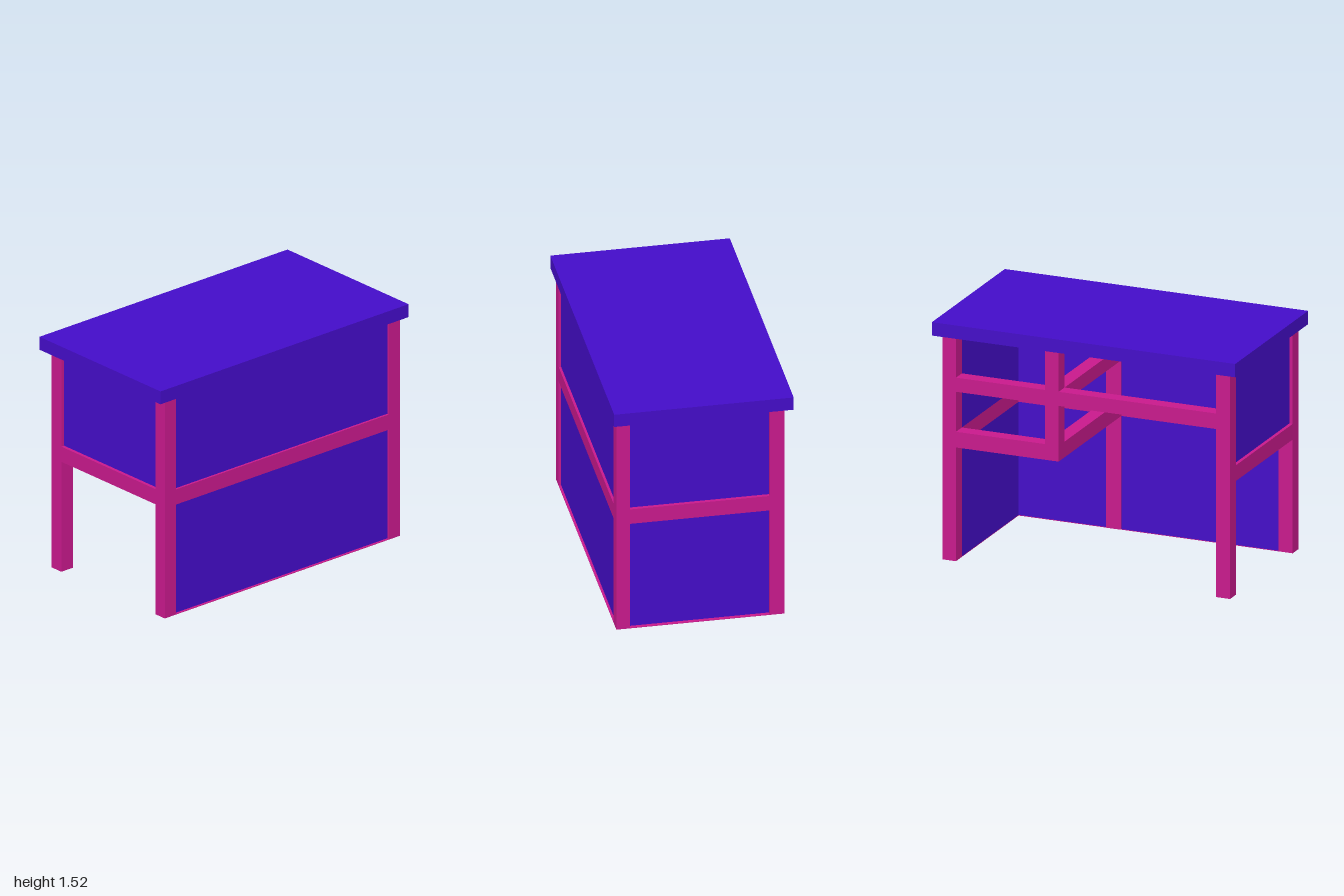
import * as THREE from 'three';

export function createModel() {
  const model = new THREE.Group();
  const pink = new THREE.MeshStandardMaterial({ color: 0xc8198c });
  const blue = new THREE.MeshStandardMaterial({ color: 0x440cc8 });

  // Box given by its [min, max] extents on each axis
  function block(name, material, x, y, z) {
    const size = [x, y, z].map(([a, b]) => b - a);
    const mesh = new THREE.Mesh(new THREE.BoxGeometry(...size), material);
    mesh.position.set(...[x, y, z].map(([a, b]) => (a + b) / 2));
    mesh.name = name;
    model.add(mesh);
  }

  // Shared extents
  const right = [-0.945, -0.853], left = [0.862, 0.952], mid = [0.185, 0.275];
  const front = [0.445, 0.53], back = [-0.505, -0.415];
  const spanX = [right[1], left[0]], spanZ = [back[1], front[0]];
  const full = [0, 1.435], rail = [0.725, 0.825], upperRail = [1.08, 1.17];
  const lower = [0.004, rail[0]], upper = [rail[1], full[1]];
  const sill = [0, 0.004];

  // Tabletop
  block('tabletop', blue, [-1, 1], [1.435, 1.52], [-0.553, 0.553]);

  // Corner legs
  for (const [sx, x] of [['right', right], ['left', left]])
    for (const [sz, z] of [['Front', front], ['Back', back]])
      block(`${sx}${sz}Leg`, pink, x, full, z);

  // Front wall: middle rail, thin sill, inset panels and a stud flush with the inside
  block('frontRail', pink, spanX, rail, front);
  block('frontSill', pink, spanX, sill, front);
  const frontInset = [front[0], front[1] - 0.015];
  block('frontLowerPanel', blue, spanX, lower, frontInset);
  block('frontUpperPanel', blue, spanX, upper, frontInset);
  block('frontStud', pink, [0.185, 0.285], full, [front[0] - 0.002, front[0] + 0.04]);

  // Left wall: closed from top to floor
  const leftInset = [left[0], left[1] - 0.024];
  block('leftRail', pink, left, rail, spanZ);
  block('leftSill', pink, left, sill, spanZ);
  block('leftLowerPanel', blue, leftInset, lower, spanZ);
  block('leftUpperPanel', blue, leftInset, upper, spanZ);

  // Right wall: upper half only, lined on the inside
  block('rightRail', pink, right, rail, spanZ);
  block('rightUpperPanel', blue, [right[0] + 0.022, -0.9], upper, spanZ);
  block('rightLining', pink, [-0.9, right[1]], upper, spanZ);

  // Open back frame around the drawer bay
  block('middlePost', pink, mid, [rail[0], full[1]], back);
  block('backUpperRailLeft', pink, [mid[1], left[0]], upperRail, back);
  block('backUpperRailRight', pink, [right[1], mid[0]], upperRail, back);
  block('backLowerRail', pink, [mid[1], left[0]], rail, back);

  // Rails running from the middle post to the front wall
  block('bayUpperRail', pink, mid, upperRail, spanZ);
  block('bayLowerRail', pink, mid, rail, spanZ);

  return model;
}
